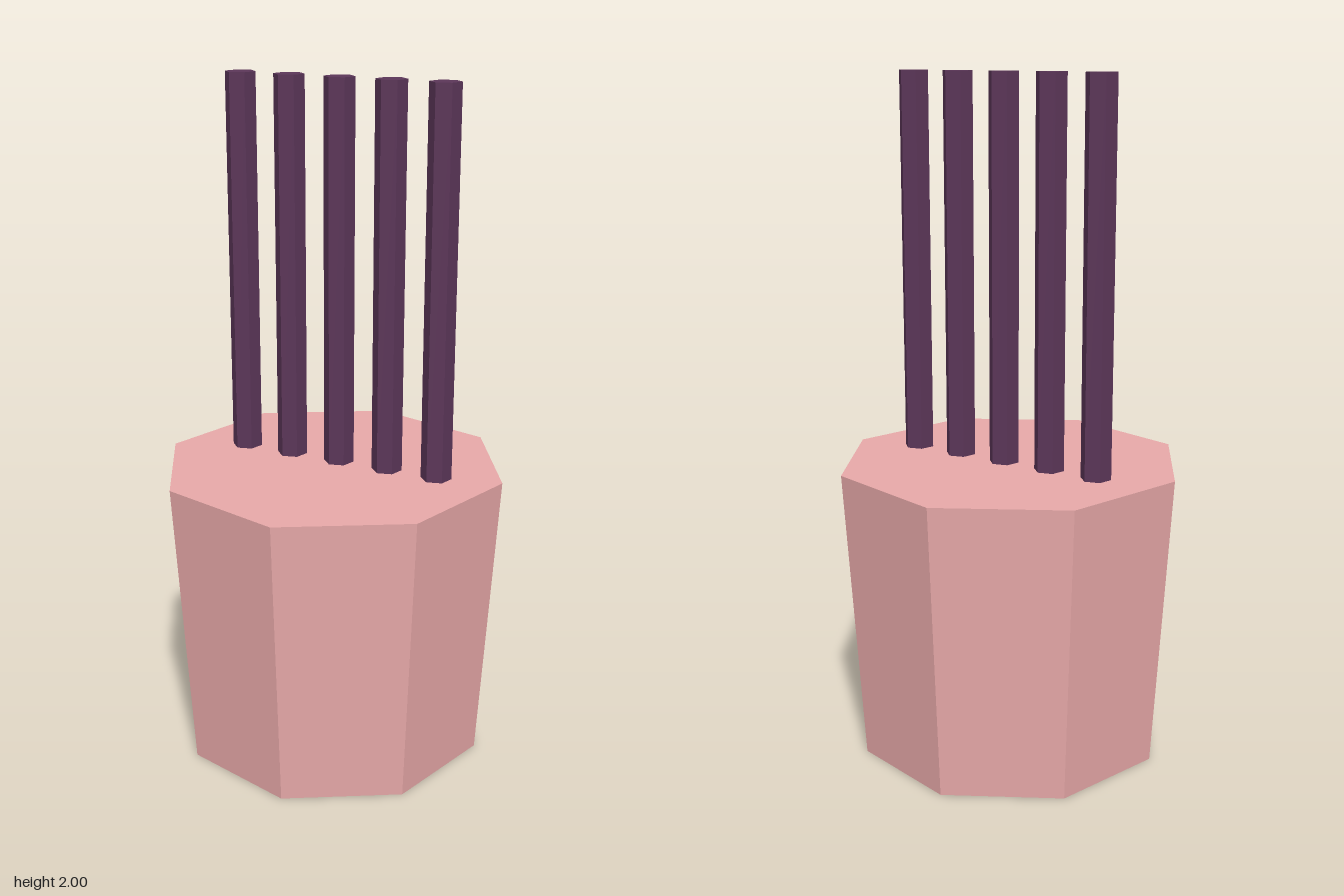
import * as THREE from 'three';

const POT_HEIGHT = 0.875;
const TOP = 2;
const ROD_COUNT = 5;

export function createModel() {
  const model = new THREE.Group();
  model.name = 'potWithRods';

  const potMaterial = new THREE.MeshStandardMaterial({ color: 0xe8a9a9, flatShading: true });
  const rodMaterial = new THREE.MeshStandardMaterial({ color: 0x5c3659, flatShading: true });

  // Tapered octagonal pot with a flat side facing the front
  const potGeometry = new THREE.CylinderGeometry(0.515, 0.46, POT_HEIGHT, 8);
  potGeometry.rotateY(Math.PI / 8);
  const pot = new THREE.Mesh(potGeometry, potMaterial);
  pot.name = 'pot';
  pot.position.y = POT_HEIGHT / 2;
  model.add(pot);

  // Row of hexagonal rods running diagonally across the top, sunk slightly into it
  const rodBottom = POT_HEIGHT - 0.02;
  const rodLength = TOP - rodBottom;
  const rodGeometry = new THREE.CylinderGeometry(0.045, 0.045, rodLength, 6);
  for (let i = 0; i < ROD_COUNT; i++) {
    const step = i - (ROD_COUNT - 1) / 2;
    const rod = new THREE.Mesh(rodGeometry, rodMaterial);
    rod.name = `rod${i + 1}`;
    rod.position.set(step * 0.1535, rodBottom + rodLength / 2, -0.027 - step * 0.0385);
    model.add(rod);
  }

  return model;
}
